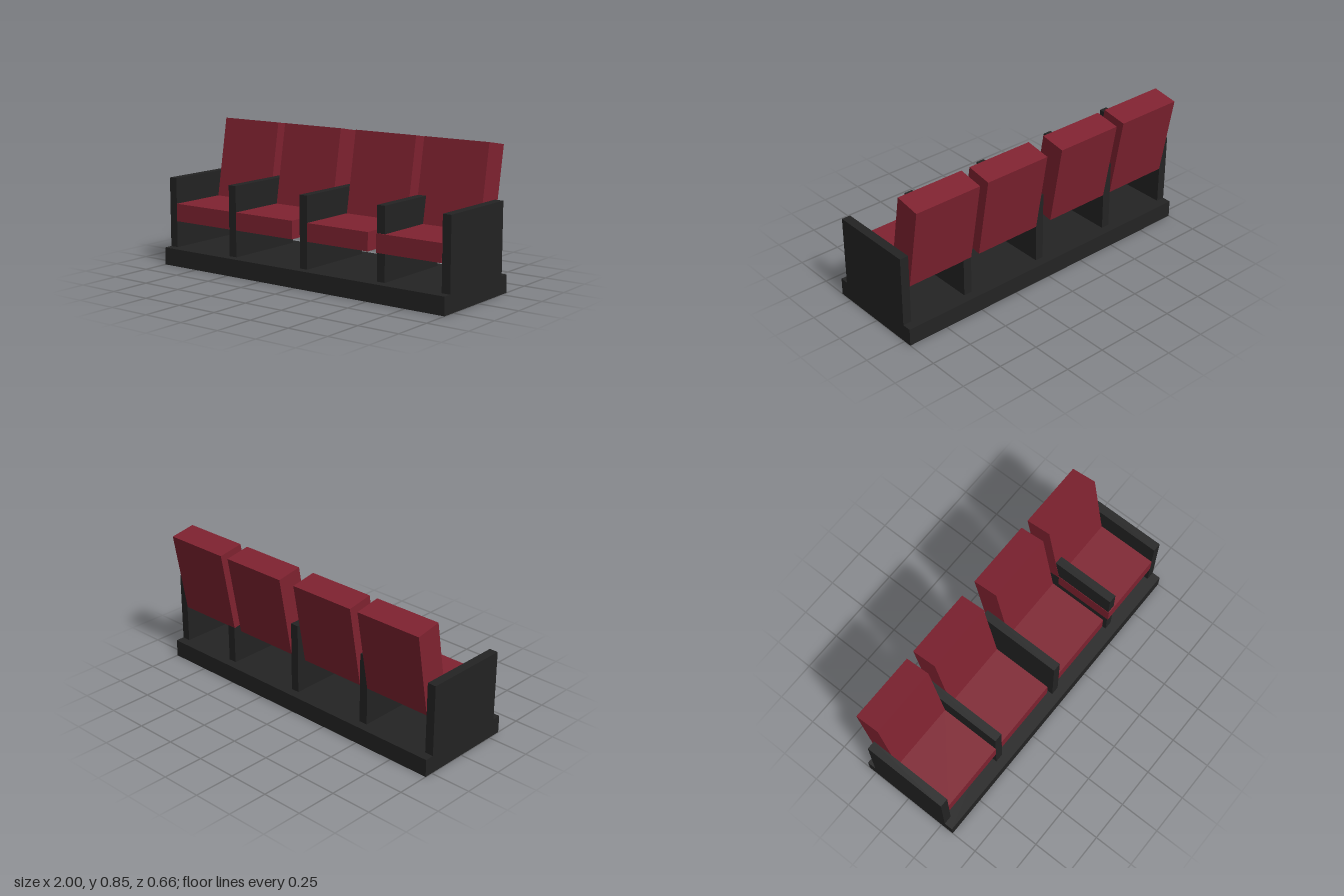
import * as THREE from 'three';

export function createModel() {
  const group = new THREE.Group();
  const red = new THREE.MeshStandardMaterial({ color: 0x7f2230 });
  red.name = 'darkRedUpholstery';
  const black = new THREE.MeshStandardMaterial({ color: 0x232323, side: THREE.DoubleSide });
  black.name = 'blackFrame';

  // Box given by its min and max corners
  function box(name, material, [x0, y0, z0], [x1, y1, z1], parent = group) {
    const geometry = new THREE.BoxGeometry(x1 - x0, y1 - y0, z1 - z0);
    const mesh = new THREE.Mesh(geometry, material);
    mesh.position.set((x0 + x1) / 2, (y0 + y1) / 2, (z0 + z1) / 2);
    mesh.name = name;
    parent.add(mesh);
    return mesh;
  }

  // Plinth, open underneath: the bottom face is dropped
  const plinth = box('plinth', black, [-1, 0, -0.3], [1, 0.105, 0.333]);
  const index = Array.from(plinth.geometry.index.array);
  index.splice(18, 6);
  plinth.geometry.setIndex(index);
  plinth.geometry.clearGroups();

  // Armrest panels: [left edge, right edge, front z]
  const panels = [
    [-1, -0.947, 0.28], [-0.528, -0.475, 0.28], [0, 0.052, 0.28],
    [0.528, 0.58, 0.275], [0.947, 1, 0.28],
  ];
  panels.forEach(([x0, x1, front], i) =>
    box(`armrestPanel${i + 1}`, black, [x0, 0.105, -0.245], [x1, 0.527, front]));

  // Seats, each a cushion and a backrest leaning 10 degrees
  [-0.947, -0.475, 0.052, 0.526].forEach((x, i) => {
    const seat = new THREE.Group();
    seat.name = `seat${i + 1}`;
    group.add(seat);
    box('cushion', red, [x, 0.265, -0.09], [x + 0.419, 0.372, 0.281], seat);
    const back = box('backrest', red, [x, 0.342, -0.289], [x + 0.419, 0.841, -0.132], seat);
    back.rotation.x = -THREE.MathUtils.degToRad(10);
  });

  return group;
}
